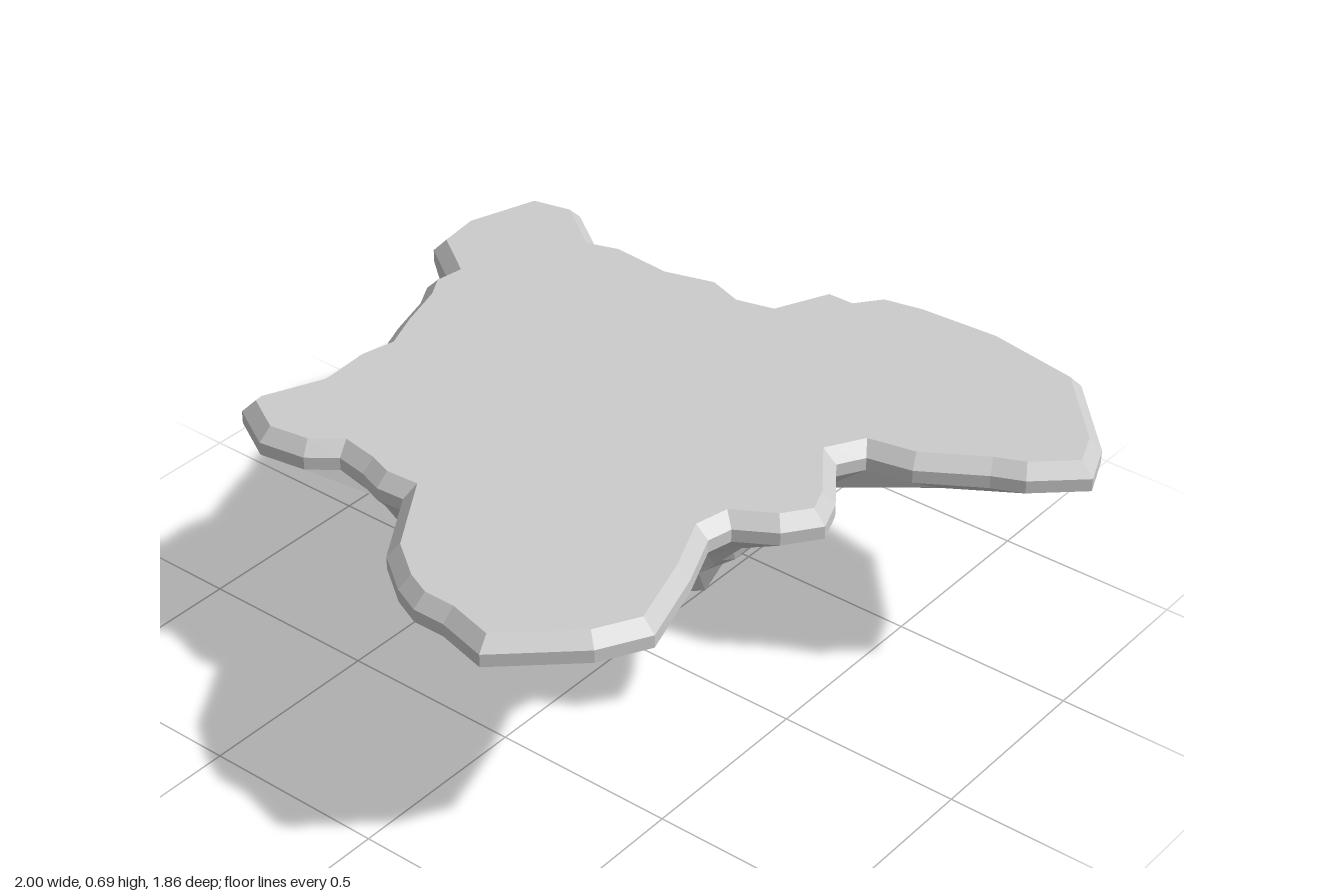
import * as THREE from 'three';

const TOP = 0.69, EDGE = 0.655, BASE = 0.62;
const CX = -0.15, CZ = -0.05; // axis of the hanging rock

// Coastline as x, z pairs, running from back left round the right side
const COAST = [
  -0.93, -0.72, -0.79, -0.75, -0.64, -0.64, -0.56, -0.665, -0.39, -0.65, -0.25, -0.69,
  -0.15, -0.655, -0.07, -0.675, 0, -0.83, 0.08, -0.83, 0.13, -0.895, 0.25, -0.92,
  0.48, -0.93, 0.75, -0.88, 0.95, -0.66, 1, -0.54, 0.88, -0.43, 0.8, -0.395,
  0.64, -0.295, 0.52, -0.27, 0.48, -0.2, 0.58, -0.06, 0.615, 0.03, 0.55, 0.12,
  0.45, 0.18, 0.435, 0.25, 0.5, 0.4, 0.57, 0.62, 0.5, 0.75, 0.31, 0.925,
  0.17, 0.89, 0.08, 0.89, 0, 0.855, -0.11, 0.775, -0.24, 0.575, -0.32, 0.58,
  -0.39, 0.555, -0.48, 0.54, -0.55, 0.595, -0.68, 0.615, -0.815, 0.54, -0.82, 0.49,
  -0.75, 0.33, -0.76, 0.19, -0.74, 0.1, -0.78, 0, -0.82, -0.13, -0.86, -0.2,
  -0.85, -0.27, -0.98, -0.36, -1, -0.5,
];

// Rock layers below the coast: height, x radius, z radius, corners,
// height jitter, squareness, and how far the layer reaches out to the coast
const LAYERS = [
  [0.56, 0.55, 0.55, 44, 0.008, 2.5, 0.5], [0.5, 0.55, 0.54, 38, 0.015, 2.5, 0],
  [0.44, 0.5, 0.48, 34, 0.02, 2.5, 0], [0.405, 0.46, 0.385, 30, 0.025, 2.3, 0],
  [0.31, 0.4, 0.32, 24, 0.025, 2.2, 0], [0.275, 0.31, 0.255, 20, 0.02, 2, 0],
  [0.2, 0.19, 0.165, 12, 0.02, 2, 0], [0.06, 0.08, 0.08, 7, 0.01, 2, 0],
];

const coast = [];
for (let i = 0; i < COAST.length; i += 2) coast.push(new THREE.Vector2(COAST[i], COAST[i + 1]));
const START = Math.atan2(coast[0].y - CZ, coast[0].x - CX);

let seed = 7;
function jitter(amount) {
  seed = (seed * 16807) % 2147483647;
  return (seed / 2147483647 * 2 - 1) * amount;
}

function inset(points, d) {
  return points.map((p, i) => {
    const n = points.length;
    const a = points[(i + n - 1) % n], b = points[(i + 1) % n];
    const t1 = p.clone().sub(a).normalize(), t2 = b.clone().sub(p).normalize();
    const n1 = new THREE.Vector2(-t1.y, t1.x), n2 = new THREE.Vector2(-t2.y, t2.x);
    const m = n1.clone().add(n2).normalize();
    return p.clone().addScaledVector(m, d / Math.max(0.75, m.dot(n1)));
  });
}

// Distance from the rock axis to the coast in one direction
function coastRadius(angle) {
  const dx = Math.cos(angle), dz = Math.sin(angle);
  let best = Infinity;
  coast.forEach((a, i) => {
    const b = coast[(i + 1) % coast.length];
    const ex = b.x - a.x, ez = b.y - a.y, ax = a.x - CX, az = a.y - CZ;
    const det = dx * ez - dz * ex;
    const t = (ax * ez - az * ex) / det, s = (ax * dz - az * dx) / det;
    if (t > 0 && s >= 0 && s <= 1) best = Math.min(best, t);
  });
  return best;
}

const at = (ring, y) => ring.map(p => new THREE.Vector3(p.x, y, p.y));

function band(out, upper, lower) {
  upper.forEach((a, i) => {
    const j = (i + 1) % upper.length;
    out.push(a, upper[j], lower[i], upper[j], lower[j], lower[i]);
  });
}

// Joins two rings with different numbers of corners, in order of angle
function stitch(out, upper, lower) {
  const angleOf = (ring, i) => {
    const p = ring[i % ring.length];
    // both rings begin at the back left, so measure from just before it
    const a = Math.atan2(p.z - CZ, p.x - CX) - START + 0.07 + Math.PI * 4;
    return a % (Math.PI * 2) + (i >= ring.length ? Math.PI * 2 : 0);
  };
  let i = 0, j = 0;
  while (i < upper.length || j < lower.length) {
    const a = upper[i % upper.length], b = lower[j % lower.length];
    const stepUpper = j >= lower.length ||
      (i < upper.length && angleOf(upper, i + 1) <= angleOf(lower, j + 1));
    if (stepUpper) out.push(a, upper[++i % upper.length], b);
    else out.push(a, lower[++j % lower.length], b);
  }
}

function facetedMesh(name, points) {
  const geometry = new THREE.BufferGeometry().setFromPoints(points);
  geometry.computeVertexNormals();
  const mesh = new THREE.Mesh(geometry,
    new THREE.MeshStandardMaterial({ color: 0xcccccc, flatShading: true }));
  mesh.name = name;
  return mesh;
}

export function createModel() {
  const group = new THREE.Group();
  group.name = 'floatingIsland';

  // Flat ground with a bevelled edge
  const inner = inset(coast, 0.033);
  const top = at(inner, TOP), edge = at(coast, EDGE), base = at(coast, BASE);
  const ground = [];
  for (const [a, b, c] of THREE.ShapeUtils.triangulateShape(inner, [])) {
    const up = (inner[b].x - inner[a].x) * (inner[c].y - inner[a].y)
      - (inner[b].y - inner[a].y) * (inner[c].x - inner[a].x) < 0;
    ground.push(top[a], top[up ? b : c], top[up ? c : b]);
  }
  group.add(facetedMesh('groundTop', ground));

  const rim = [];
  band(rim, top, edge);
  band(rim, edge, base);
  group.add(facetedMesh('groundRim', rim));

  // Ragged rock narrowing in layers to a point
  const rock = [];
  let upper = base;
  LAYERS.forEach(([y, rx, rz, n, rough, square, reach], k) => {
    const ring = [];
    for (let i = 0; i < n; i++) {
      const angle = START + (i + (i ? jitter(0.22) : 0)) / n * Math.PI * 2;
      const c = Math.cos(angle), s = Math.sin(angle), shore = coastRadius(angle);
      const round = (Math.abs(c / rx) ** square + Math.abs(s / rz) ** square) ** (-1 / square);
      const r = Math.min(round * (0.97 + jitter(0.06)), shore * (0.97 - 0.035 * k));
      const reached = THREE.MathUtils.lerp(r, shore * 0.98, reach);
      ring.push(new THREE.Vector3(CX + c * reached, y + jitter(rough), CZ + s * reached));
    }
    stitch(rock, upper, ring);
    upper = ring;
  });
  const tip = new THREE.Vector3(CX, 0, CZ);
  upper.forEach((p, i) => rock.push(p, upper[(i + 1) % upper.length], tip));
  group.add(facetedMesh('rockUnderside', rock));

  return group;
}
